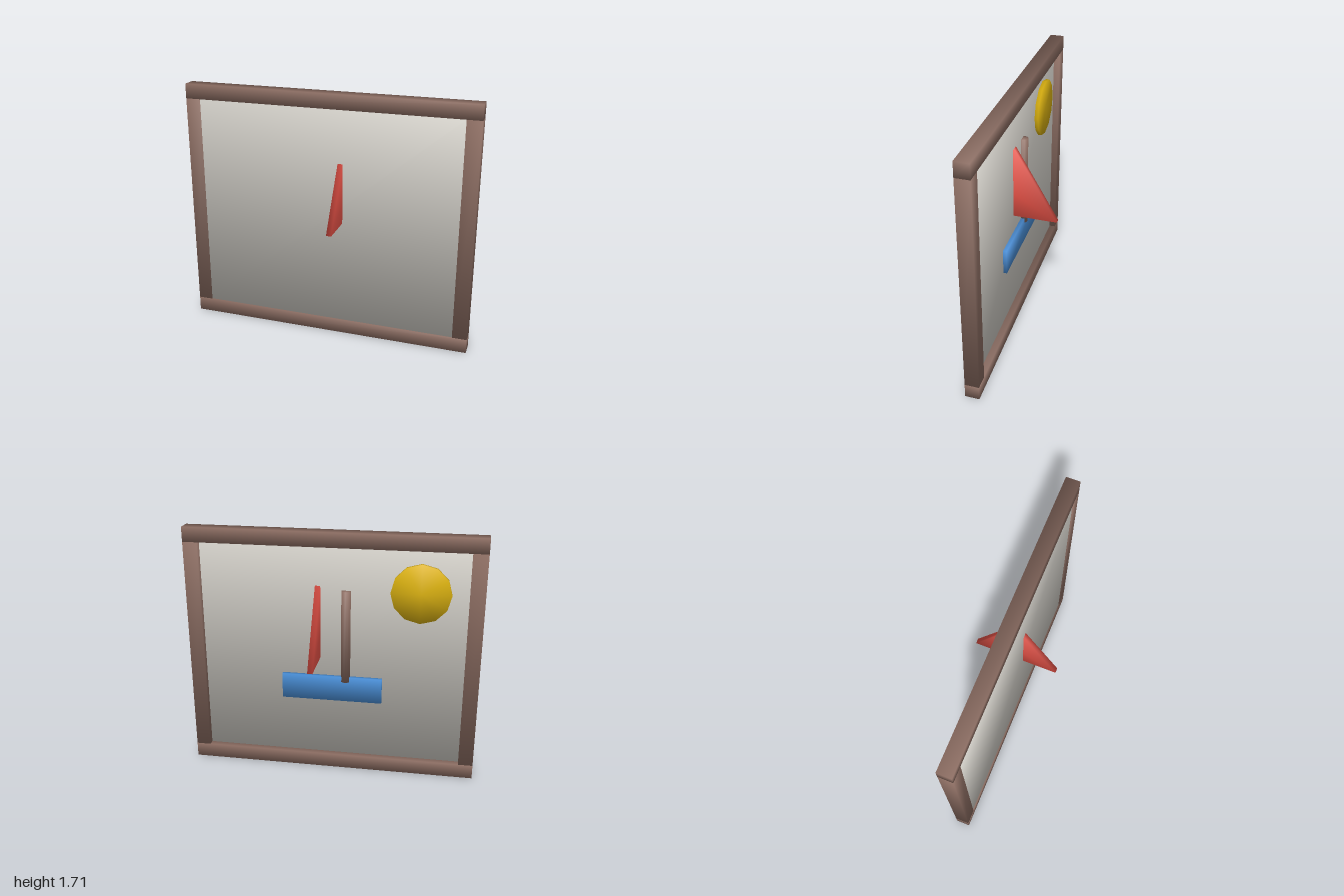
import * as THREE from 'three';

const flat = (name, color) => {
  const m = new THREE.MeshStandardMaterial({ color });
  m.name = name;
  return m;
};

// Blend the normals of all faces meeting at a corner, for a soft-shaded look
function soften(geo) {
  const pos = geo.attributes.position, nor = geo.attributes.normal;
  const corners = new Map();
  const round = (v) => v.toArray().map((n) => Math.round(n * 1e4) + 0).join();
  const at = (attr, i) => new THREE.Vector3().fromBufferAttribute(attr, i);
  for (let i = 0; i < pos.count; i++) {
    const key = round(at(pos, i));
    if (!corners.has(key)) corners.set(key, new Map());
    const n = at(nor, i);
    corners.get(key).set(round(n), n);
  }
  for (let i = 0; i < pos.count; i++) {
    const sum = new THREE.Vector3();
    corners.get(round(at(pos, i))).forEach((n) => sum.add(n));
    sum.normalize();
    nor.setXYZ(i, sum.x, sum.y, sum.z);
  }
  return geo;
}

export function createModel() {
  const model = new THREE.Group();
  model.name = 'framedBoatPicture';

  const wood = flat('brown wood', 0x8d6e63);
  const board = flat('pale grey', 0xd3d0c9);
  const red = flat('sail red', 0xe25045);
  const blue = flat('hull blue', 0x4a90d9);
  const yellow = flat('sun yellow', 0xd9b010);

  const add = (name, geo, material, x, y, z = 0) => {
    const mesh = new THREE.Mesh(soften(geo), material);
    mesh.name = name;
    mesh.position.set(x, y, z);
    model.add(mesh);
  };

  // Frame: two full-width rails with posts between them
  const depth = 0.096, frameZ = 0.0125;
  add('bottomRail', new THREE.BoxGeometry(2, 0.1, depth), wood, 0, 0.05, frameZ);
  add('topRail', new THREE.BoxGeometry(2, 0.1, depth), wood, 0, 1.66, frameZ);
  for (const side of [-1, 1]) {
    add(side > 0 ? 'leftPost' : 'rightPost',
      new THREE.BoxGeometry(0.1, 1.51, depth), wood, side * 0.95, 0.855, frameZ);
  }

  // Backing board
  add('board', new THREE.BoxGeometry(1.8, 1.51, 0.046), board, 0, 0.855, 0.031);

  // Boat
  add('hull', new THREE.BoxGeometry(0.695, 0.18, 0.034), blue, 0, 0.61);
  add('mast', new THREE.CylinderGeometry(0.032, 0.032, 0.65, 12), wood, -0.095, 0.99);

  // Triangular sail standing across the board
  const sail = new THREE.CylinderGeometry(0.34, 0.34, 0.035, 3);
  sail.rotateZ(Math.PI / 2).rotateX(-Math.PI / 2);
  add('sail', sail, red, 0.097, 1.002);

  // Sun disc
  const sun = new THREE.CylinderGeometry(0.2, 0.2, 0.034, 12);
  sun.rotateX(Math.PI / 2);
  add('sun', sun, yellow, -0.588, 1.32);

  return model;
}
